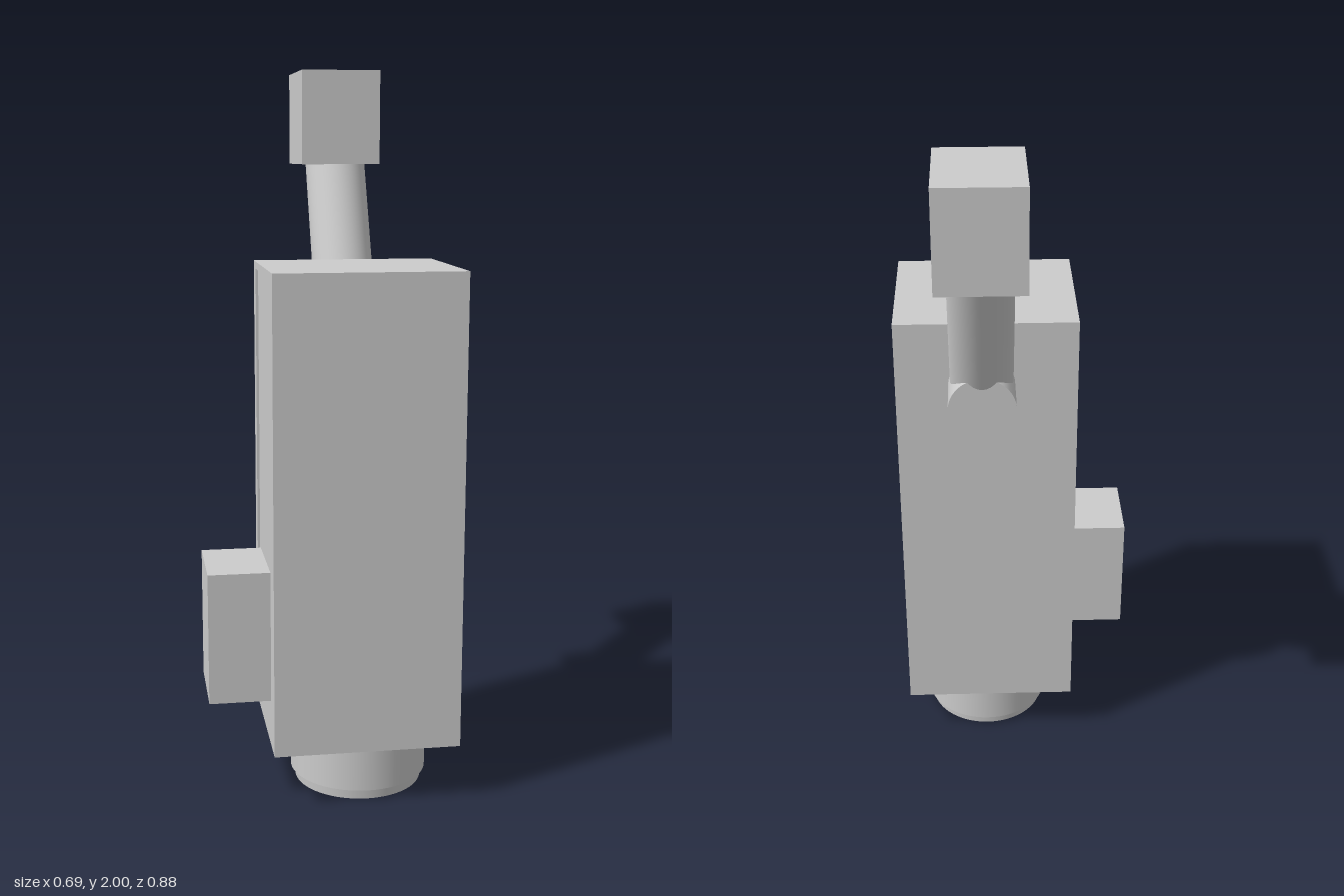
import * as THREE from 'three';
import { mergeGeometries } from 'three/addons/utils/BufferGeometryUtils.js';

const material = new THREE.MeshStandardMaterial({ color: 0xcccccc });

function add(group, name, geometry) {
  const mesh = new THREE.Mesh(geometry, material);
  mesh.name = name;
  group.add(mesh);
  return mesh;
}

// Box given by its lower and upper corners
function boxBetween([x0, y0, z0], [x1, y1, z1]) {
  return new THREE.BoxGeometry(x1 - x0, y1 - y0, z1 - z0)
    .translate((x0 + x1) / 2, (y0 + y1) / 2, (z0 + z1) / 2);
}

function rectangle(target, u0, v0, u1, v1) {
  target.moveTo(u0, v0);
  target.lineTo(u1, v0);
  target.lineTo(u1, v1);
  target.lineTo(u0, v1);
  target.closePath();
  return target;
}

// Housing with a shallow slot sunk into each side
function housingGeometry() {
  const lo = [-0.173, 0.16, -0.015], hi = [0.341, 1.465, 0.437];
  const slot = { y0: 0.18, y1: 1.445, z0: 0.032, z1: 0.1, depth: 0.03 };

  const shell = boxBetween(lo, hi);
  shell.setIndex(Array.from(shell.index.array).slice(12)); // drop both x faces
  const pieces = [shell];

  for (const side of [1, -1]) {
    const x = side > 0 ? hi[0] : lo[0];

    // Side face, cut out around the slot
    const face = rectangle(new THREE.Shape(), -side * lo[2], lo[1], -side * hi[2], hi[1]);
    face.holes.push(rectangle(new THREE.Path(), -side * slot.z0, slot.y0, -side * slot.z1, slot.y1));
    pieces.push(new THREE.ShapeGeometry(face).rotateY(side * Math.PI / 2).translate(x, 0, 0));

    // Slot lining: an inward-facing box without its outer face
    const inner = x - side * slot.depth;
    const lining = boxBetween(
      [Math.min(x, inner), slot.y0, slot.z0], [Math.max(x, inner), slot.y1, slot.z1]);
    const index = Array.from(lining.index.array);
    index.splice(side > 0 ? 0 : 6, 6);
    lining.setIndex(index.reverse());
    const normals = lining.attributes.normal.array;
    for (let i = 0; i < normals.length; i++) normals[i] *= -1;
    pieces.push(lining);
  }
  return mergeGeometries(pieces);
}

// Lathe with crisp edges: every profile segment is turned separately
function crispLathe(points, segments) {
  const bands = [];
  for (let i = 0; i < points.length - 1; i++) {
    const pair = [points[i], points[i + 1]].map(([r, y]) => new THREE.Vector2(r, y));
    bands.push(new THREE.LatheGeometry(pair, segments));
  }
  return mergeGeometries(bands);
}

export function createModel() {
  const model = new THREE.Group();
  model.name = 'opticalUnit';

  add(model, 'housing', housingGeometry());

  // Lens barrel with a stepped rim and a recessed glass
  const lens = crispLathe([
    [0, 0.02], [0.153, 0.02], [0.158, 0], [0.18, 0], [0.183, 0.03],
    [0.193, 0.03], [0.193, 0.16],
  ], 64);
  add(model, 'lensBarrel', lens).position.set(0.094, 0, 0.211);

  // Side control box with a small domed button underneath
  const control = new THREE.Group();
  control.name = 'sideControl';
  model.add(control);
  add(control, 'controlBox', boxBetween([-0.345, 0.31, 0.165], [-0.178, 0.67, 0.405]));
  const button = add(control, 'controlButton', new THREE.SphereGeometry(0.022, 24, 12));
  button.scale.y = 0.4;
  button.position.set(-0.29, 0.311, 0.285);

  // Eyepiece: pivot stub, slanted tube and square head
  const eyepiece = new THREE.Group();
  eyepiece.name = 'eyepiece';
  model.add(eyepiece);
  const stub = new THREE.CylinderGeometry(0.094, 0.094, 0.165, 48).rotateX(Math.PI / 2);
  add(eyepiece, 'pivotStub', stub).position.set(0.098, 1.278, -0.083);

  const bottom = new THREE.Vector3(0.098, 1.27, -0.035);
  const top = new THREE.Vector3(0.098, 1.8, -0.286);
  const axis = top.clone().sub(bottom);
  const tube = add(eyepiece, 'eyepieceTube', new THREE.CylinderGeometry(0.088, 0.088, axis.length(), 48));
  tube.position.addVectors(bottom, top).multiplyScalar(0.5);
  tube.quaternion.setFromUnitVectors(new THREE.Vector3(0, 1, 0), axis.normalize());

  add(eyepiece, 'eyepieceHead', boxBetween([-0.016, 1.732, -0.438], [0.213, 2, -0.144]));

  return model;
}
